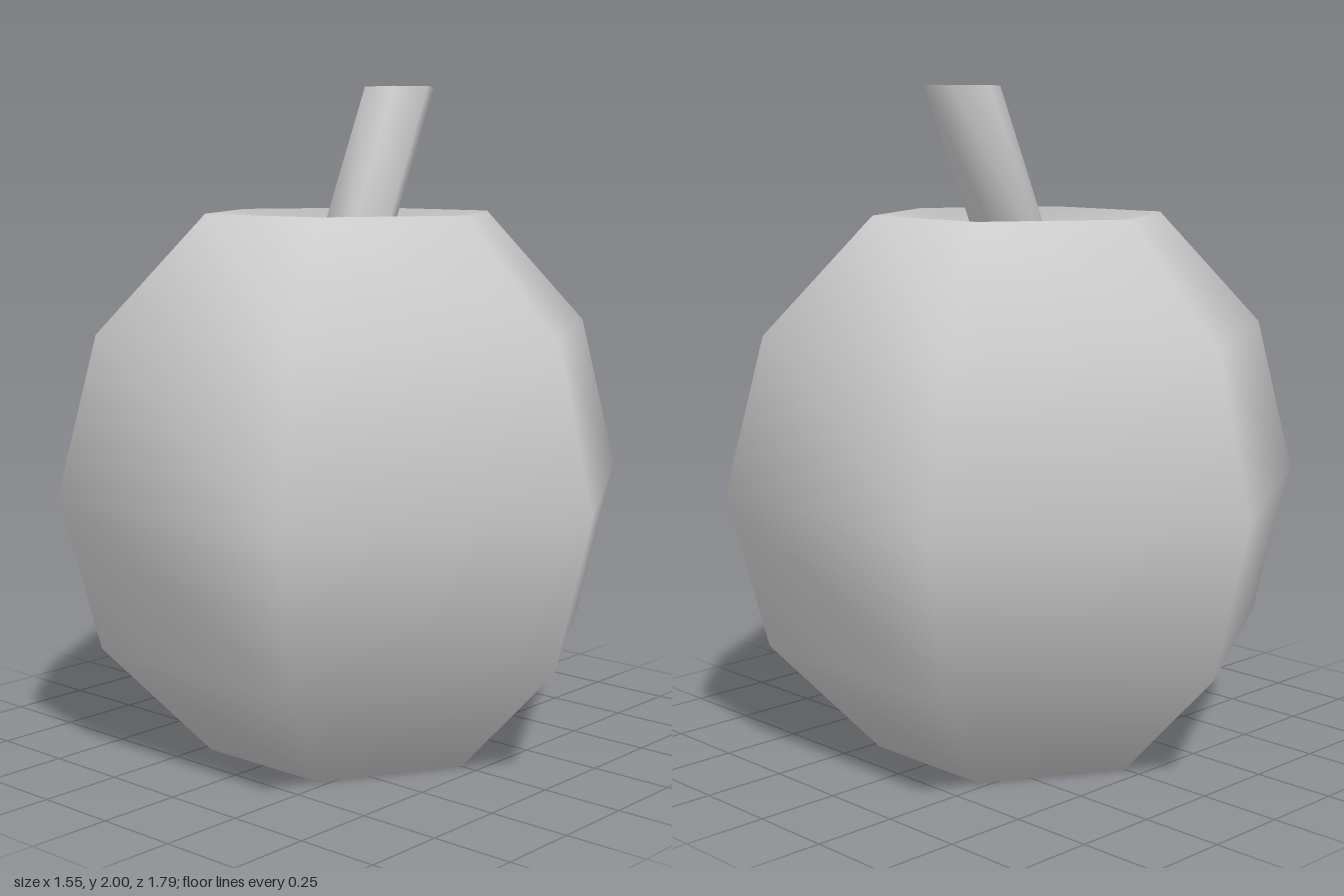
import * as THREE from 'three';
import { mergeVertices } from 'three/addons/utils/BufferGeometryUtils.js';

// Six-sided turned shape with one smooth normal per vertex
function smoothHexLathe(profile, shear = 0) {
  const points = profile.map(([r, y]) => new THREE.Vector2(r, y));
  let geometry = new THREE.LatheGeometry(points, 6);
  geometry.deleteAttribute('uv');
  geometry.deleteAttribute('normal');
  geometry = mergeVertices(geometry, 1e-4);

  // Lean sideways, keeping every ring level
  const pos = geometry.attributes.position;
  const base = profile[0][1];
  for (let i = 0; i < pos.count; i++) {
    pos.setX(i, pos.getX(i) + (pos.getY(i) - base) * shear);
  }
  geometry.computeVertexNormals();
  return geometry;
}

export function createModel() {
  const group = new THREE.Group();
  group.name = 'apple';
  const material = new THREE.MeshStandardMaterial({ color: 0xcccccc });

  const add = (name, geometry) => {
    const mesh = new THREE.Mesh(geometry, material);
    mesh.name = name;
    group.add(mesh);
  };

  // Round body with a dimple at each end
  add('fruitBody', smoothHexLathe([
    [0, 0.08], [0.445, 0], [0.774, 0.345], [0.893, 0.812],
    [0.774, 1.28], [0.445, 1.625], [0, 1.425],
  ]));

  // Leaning stem, cut off level at the top
  add('stem', smoothHexLathe([[0, 1.48], [0.112, 1.48], [0.112, 2], [0, 2]], 0.442));

  return group;
}
